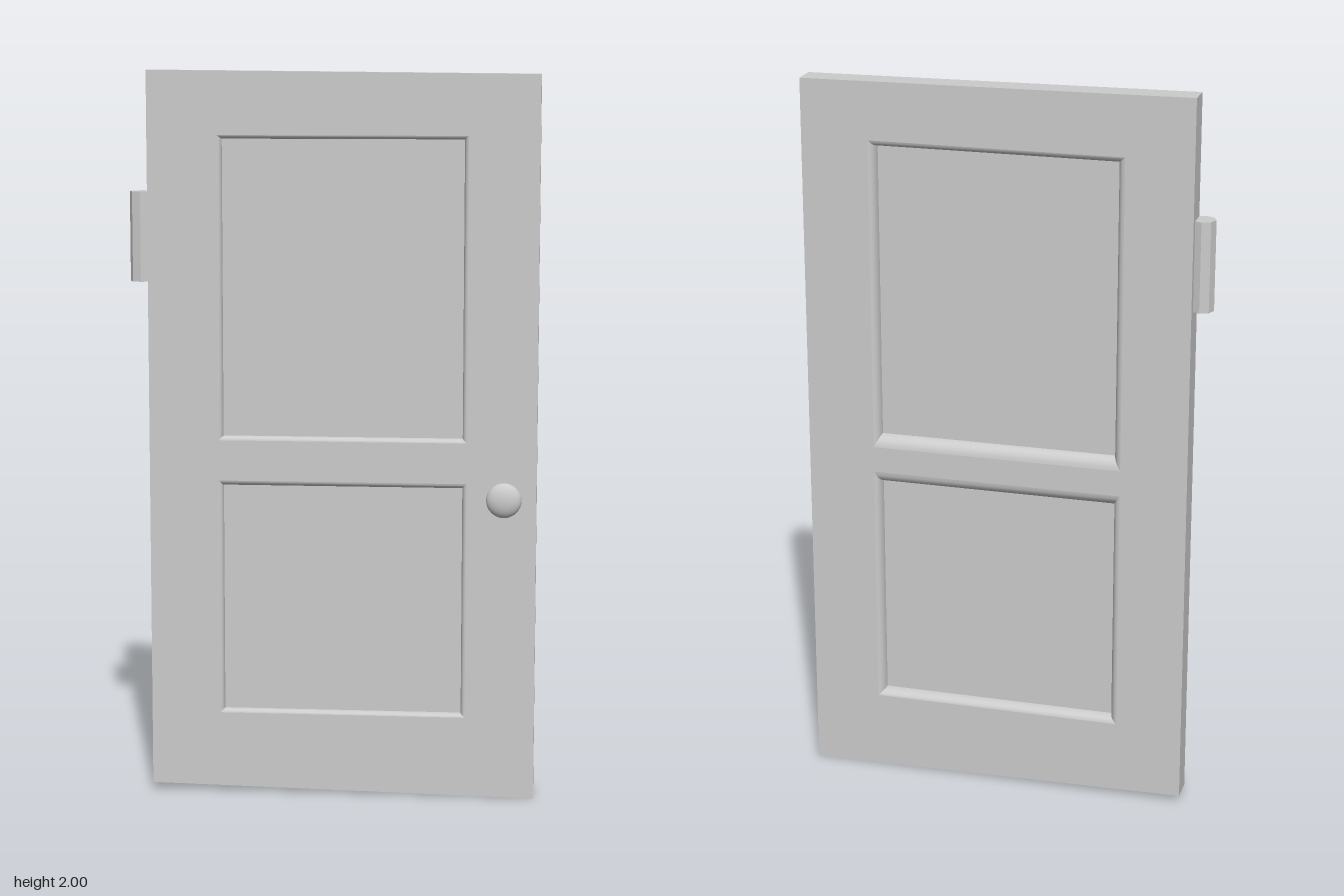
import * as THREE from 'three';

const BACK = -0.074, FRONT = -0.002;

// Four mitred moulding strips running from an outer rectangle down to a recessed inner one.
// Rectangles are [x0, y0, x1, y1].
function mouldingGeometry(outer, inner, zFace, zPanel) {
  const corners = ([x0, y0, x1, y1]) => [[x0, y0], [x1, y0], [x1, y1], [x0, y1]];
  const o = corners(outer), n = corners(inner);
  const positions = [], index = [], steps = 5;
  const flip = zFace < zPanel;
  for (let side = 0; side < 4; side++) {
    const base = positions.length / 3;
    for (let i = 0; i <= steps; i++) {
      const a = (i / steps) * Math.PI / 2;
      const across = Math.sin(a), down = 1 - Math.cos(a);
      for (const c of [side, (side + 1) % 4]) {
        positions.push(
          THREE.MathUtils.lerp(o[c][0], n[c][0], across),
          THREE.MathUtils.lerp(o[c][1], n[c][1], across),
          THREE.MathUtils.lerp(zFace, zPanel, down));
      }
      if (i < steps) {
        const p = base + i * 2;
        if (flip) index.push(p, p + 2, p + 1, p + 1, p + 2, p + 3);
        else index.push(p, p + 1, p + 2, p + 1, p + 3, p + 2);
      }
    }
  }
  const g = new THREE.BufferGeometry();
  g.setAttribute('position', new THREE.Float32BufferAttribute(positions, 3));
  g.setIndex(index);
  g.computeVertexNormals();
  return g;
}

// One face of the slab: an outline with rectangular openings.
function faceGeometry(outline, openings) {
  const shape = new THREE.Shape(outline.map(([x, y]) => new THREE.Vector2(x, y)));
  for (const [x0, y0, x1, y1] of openings) {
    shape.holes.push(new THREE.Path([
      new THREE.Vector2(x0, y0), new THREE.Vector2(x0, y1),
      new THREE.Vector2(x1, y1), new THREE.Vector2(x1, y0)]));
  }
  return shape;
}

export function createModel() {
  const model = new THREE.Group();
  model.name = 'door';
  const grey = new THREE.MeshStandardMaterial({ color: 0xcccccc });
  const flat = new THREE.MeshStandardMaterial({ color: 0xcccccc, flatShading: true });
  const twoSided = new THREE.MeshStandardMaterial({ color: 0xcccccc, side: THREE.DoubleSide });

  const add = (name, geometry, material, parent = model) => {
    const mesh = new THREE.Mesh(geometry, material);
    mesh.name = name;
    parent.add(mesh);
    return mesh;
  };

  // Slightly out-of-square slab, its two halves meeting inside the thickness
  const outline = [[-0.508, 0.02], [0.555, 0], [0.555, 1.99], [-0.508, 2]];
  const panels = [
    { name: 'upperPanel', inner: [-0.305, 1.005, 0.352, 1.816],
      front: [-0.317, 0.994, 0.364, 1.826], back: [-0.325, 0.972, 0.37, 1.834] },
    { name: 'lowerPanel', inner: [-0.305, 0.236, 0.352, 0.868],
      front: [-0.317, 0.226, 0.364, 0.882], back: [-0.325, 0.218, 0.37, 0.9] },
  ];
  const frontFace = faceGeometry(outline, panels.map(p => p.front));
  const backFace = faceGeometry(outline, panels.map(p => p.back));
  add('frontFrame', new THREE.ShapeGeometry(frontFace), grey).position.z = FRONT;
  // The back face is turned round so it looks towards -z
  const backGeometry = new THREE.ShapeGeometry(backFace);
  const order = backGeometry.index.array;
  for (let i = 0; i < order.length; i += 3) [order[i], order[i + 1]] = [order[i + 1], order[i]];
  backGeometry.computeVertexNormals();
  add('backFrame', backGeometry, grey).position.z = BACK;

  // Narrow edges around the slab
  const edgePositions = [];
  outline.forEach(([ax, ay], i) => {
    const [bx, by] = outline[(i + 1) % 4];
    edgePositions.push(ax, ay, FRONT, ax, ay, BACK, bx, by, BACK,
      ax, ay, FRONT, bx, by, BACK, bx, by, FRONT);
  });
  const edges = new THREE.BufferGeometry();
  edges.setAttribute('position', new THREE.Float32BufferAttribute(edgePositions, 3));
  edges.computeVertexNormals();
  add('slabEdges', edges, twoSided);

  // Recessed panels with mouldings on both sides
  const panelFront = FRONT - 0.018, panelBack = BACK + 0.03;
  for (const { name, inner, front, back } of panels) {
    const group = new THREE.Group();
    group.name = name;
    model.add(group);
    const [x0, y0, x1, y1] = inner;
    const board = add('board',
      new THREE.BoxGeometry(x1 - x0, y1 - y0, panelFront - panelBack), grey, group);
    board.position.set((x0 + x1) / 2, (y0 + y1) / 2, (panelFront + panelBack) / 2);
    add('frontMoulding', mouldingGeometry(front, inner, FRONT, panelFront), twoSided, group);
    add('backMoulding', mouldingGeometry(back, inner, BACK, panelBack), twoSided, group);
  }

  // Eight-sided hinge barrel
  const hinge = add('hinge', new THREE.CylinderGeometry(0.033, 0.033, 0.245, 8), flat);
  hinge.position.set(-0.526, 1.551, -0.029);

  // Doorknob: stem and flattened ball
  const knob = new THREE.Group();
  knob.name = 'doorknob';
  knob.position.set(0.467, 0.847, FRONT);
  model.add(knob);
  const stem = add('stem', new THREE.CylinderGeometry(0.015, 0.015, 0.035, 20), grey, knob);
  stem.rotation.x = Math.PI / 2;
  stem.position.z = 0.0165;
  const grip = add('grip', new THREE.SphereGeometry(1, 32, 20), grey, knob);
  grip.rotation.x = Math.PI / 2;
  grip.scale.set(0.048, 0.0245, 0.048);
  grip.position.z = 0.0495;

  return model;
}
